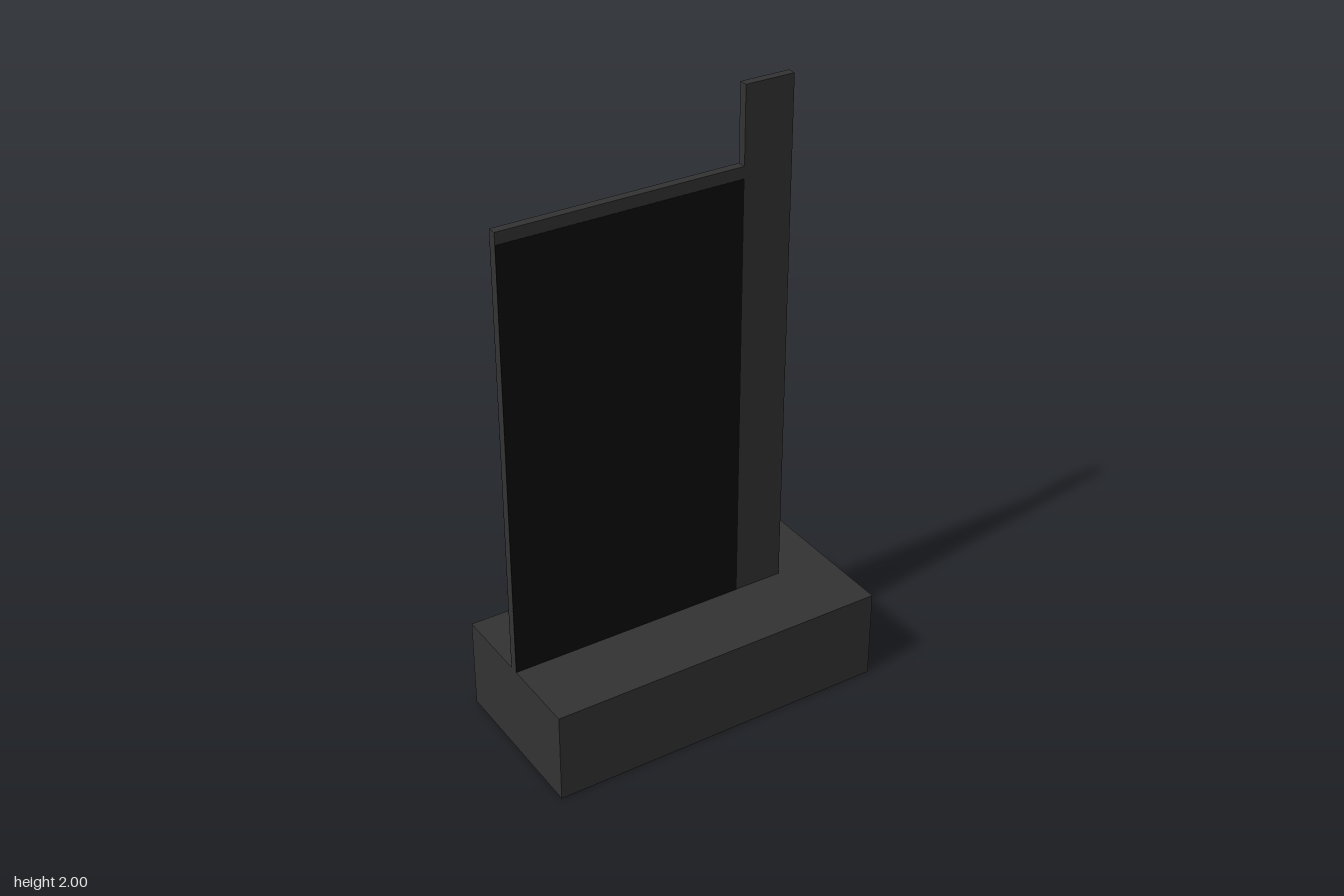
import * as THREE from 'three';

export function createModel() {
  const model = new THREE.Group();
  const grey = new THREE.MeshStandardMaterial({ color: 0x333333 });
  grey.name = 'charcoal grey';
  const black = new THREE.MeshStandardMaterial({ color: 0x0b0b0b });
  black.name = 'black';

  // Box given by its extents on x and y, and its depth centred on z
  const slab = (name, material, x0, x1, y0, y1, depth, z = 0) => {
    const mesh = new THREE.Mesh(new THREE.BoxGeometry(x1 - x0, y1 - y0, depth), material);
    mesh.position.set((x0 + x1) / 2, (y0 + y1) / 2, z);
    mesh.name = name;
    model.add(mesh);
  };

  const left = -0.568, postX = 0.225, baseTop = 0.302, thick = 0.028;

  slab('base', grey, left, 0.568, 0, baseTop, 0.544);
  slab('post', grey, postX, 0.388, baseTop, 2, thick);
  slab('panel', grey, left, postX, baseTop, 1.756, thick);

  // Black faces on both sides, leaving a grey rail along the top
  for (const side of [1, -1]) {
    slab(side > 0 ? 'frontFace' : 'backFace', black, left, postX, baseTop, 1.718, 0.002, side * thick / 2);
  }
  return model;
}
